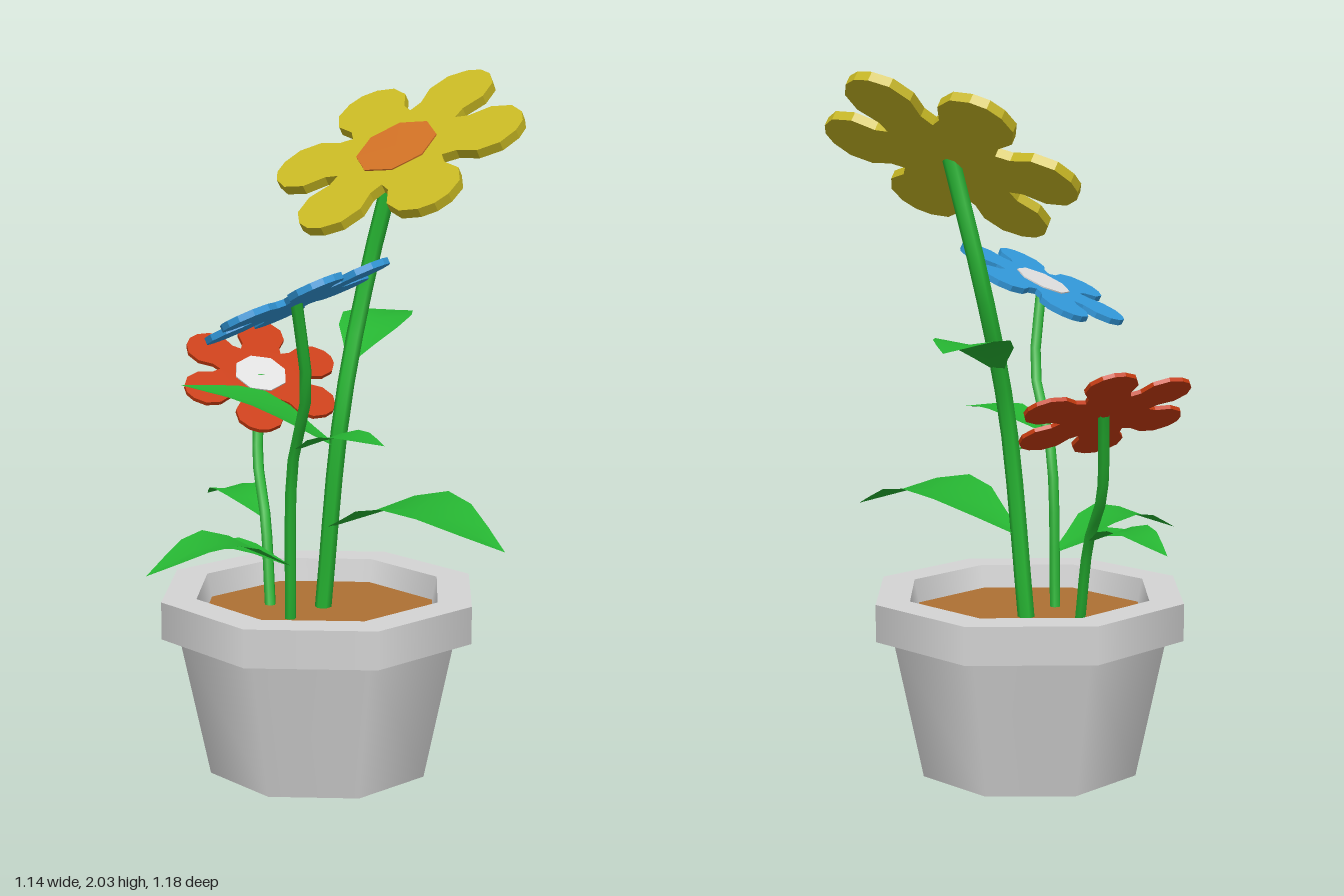
import * as THREE from 'three';
import { mergeGeometries } from 'three/addons/utils/BufferGeometryUtils.js';

const V = (p) => new THREE.Vector3(...p);

const material = (name, color, side = THREE.FrontSide) => {
  const m = new THREE.MeshStandardMaterial({ color, side });
  m.name = name;
  return m;
};

function add(parent, name, geometry, mat) {
  const mesh = new THREE.Mesh(geometry, mat);
  mesh.name = name;
  parent.add(mesh);
  return mesh;
}

// Eight-sided pot: each profile step is its own wall, so edges between steps stay sharp
function potGeometry() {
  const profile = [[0, 0], [0.337, 0], [0.427, 0.42], [0.48, 0.42], [0.48, 0.53], [0.375, 0.53], [0.358, 0.45]]
    .map(([r, y]) => new THREE.Vector2(r, y));
  const walls = [];
  for (let i = 1; i < profile.length; i++) walls.push(new THREE.LatheGeometry([profile[i - 1], profile[i]], 8));
  return mergeGeometries(walls);
}

// Six-petalled outline with notches between the petals
function petalShape(radius) {
  const half = [[0.42, 0.243], [0.53, 0.225], [0.7, 0.285], [0.87, 0.24], [0.97, 0.12]];
  const petal = [...half.map(([x, y]) => [x, -y]), [1, 0], ...half.slice(1).reverse()];
  const points = [];
  for (let i = 0; i < 6; i++) {
    const c = Math.cos(i * Math.PI / 3) * radius, s = Math.sin(i * Math.PI / 3) * radius;
    for (const [x, y] of petal) points.push(new THREE.Vector2(x * c - y * s, x * s + y * c));
  }
  return new THREE.Shape(points);
}

// Flower head in the plane of its normal; spin turns the rear petal, seen from above, towards +x
function flowerHead({ center, normal, spin, radius, thick, petalMat, eyeMat }) {
  const group = new THREE.Group();
  group.name = 'flowerHead';
  const n = V(normal).normalize();
  const x = new THREE.Vector3(Math.sin(spin), 0, -Math.cos(spin));
  x.y = -x.dot(n) / n.y;
  x.normalize();
  const y = new THREE.Vector3().crossVectors(n, x);
  group.quaternion.setFromRotationMatrix(new THREE.Matrix4().makeBasis(x, y, n));
  group.position.set(...center);

  const petals = new THREE.ExtrudeGeometry(petalShape(radius), { depth: thick, bevelEnabled: false });
  add(group, 'petals', petals.translate(0, 0, -thick / 2), petalMat);
  const eye = radius * 0.32;
  const disc = new THREE.CylinderGeometry(eye, eye, thick, 8).rotateX(Math.PI / 2).rotateZ(Math.PI / 8);
  add(group, 'flowerCentre', disc.translate(0, 0, 0.004), eyeMat);
  return group;
}

// Leaf from V-shaped cross-sections along a midrib that arches by rise
function leafGeometry(base, tip, rise, halfWidth) {
  const crest = base.clone().lerp(tip, 0.5);
  crest.y += rise;
  const rib = new THREE.CatmullRomCurve3([base, crest, tip]);
  const out = tip.clone().sub(base).setY(0).normalize();
  const side = new THREE.Vector3(-out.z, 0, out.x);
  const positions = [], index = [];
  [0.1, 0.45, 0.85, 1, 0.8, 0.42, 0].forEach((w, i, all) => {
    const p = rib.getPoint(i / (all.length - 1));
    for (const s of [-1, 0, 1]) {
      const q = p.clone().addScaledVector(side, s * w * halfWidth);
      positions.push(q.x, q.y + Math.abs(s) * w * halfWidth * 0.15, q.z);
    }
    if (i === 0) return;
    for (let j = 0; j < 2; j++) {
      const a = (i - 1) * 3 + j, b = a + 3;
      index.push(a, a + 1, b, a + 1, b + 1, b);
    }
  });
  const g = new THREE.BufferGeometry();
  g.setAttribute('position', new THREE.Float32BufferAttribute(positions, 3));
  g.setIndex(index);
  g.computeVertexNormals();
  return g;
}

export function createModel() {
  const model = new THREE.Group();
  model.name = 'pottedFlowers';

  const potMat = material('pale grey', 0xd4d4d4);
  const soilMat = material('soil brown', 0xad7033);
  const green = material('plant green', 0x26b532, THREE.DoubleSide);
  const yellow = material('yellow', 0xc8b823);
  const orange = material('orange', 0xcf7025);
  const red = material('red', 0xc83c10);
  const blue = material('blue', 0x3298da);
  const white = material('white', 0xdedede);

  // Pot and soil
  const pot = new THREE.Group();
  pot.name = 'pot';
  pot.position.set(-0.015, 0, 0.03);
  add(pot, 'potShell', potGeometry(), potMat);
  add(pot, 'soil', new THREE.CircleGeometry(0.36, 8).rotateX(-Math.PI / 2), soilMat).position.y = 0.46;
  model.add(pot);

  // A stem bending up to the flower head; addLeaf grows a leaf from the stem at a given height
  function addPlant(name, stemRadius, bends, head) {
    const plant = new THREE.Group();
    plant.name = name;
    const path = new THREE.CatmullRomCurve3([...bends, head.center].map(V), false, 'centripetal');
    add(plant, 'stem', new THREE.TubeGeometry(path, 10, stemRadius, 6), green);
    plant.add(flowerHead(head));
    model.add(plant);
    return function addLeaf(height, tip, rise, halfWidth) {
      const base = path.getPoints(100).find((p) => p.y >= height);
      add(plant, 'leaf', leafGeometry(base, V(tip), rise, halfWidth), green);
    };
  }

  // Tall yellow flower
  const yellowLeaf = addPlant('yellowFlower', 0.025,
    [[0.01, 0.44, -0.01], [0.06, 1.05, 0.015], [0.165, 1.43, -0.06]],
    { center: [0.245, 1.8, -0.02], normal: [-0.5, 0.82, 0.27], spin: 0.09, radius: 0.39, thick: 0.028, petalMat: yellow, eyeMat: orange });
  yellowLeaf(0.69, [0.34, 0.73, 0.55], 0.09, 0.16);
  yellowLeaf(1.19, [0.4, 1.29, -0.36], 0.05, 0.11);
  yellowLeaf(0.93, [-0.37, 1.12, -0.19], 0.035, 0.13);

  // Blue flower at the front
  const blueLeaf = addPlant('blueFlower', 0.017,
    [[-0.12, 0.44, 0.075], [-0.135, 0.92, 0.14], [-0.135, 1.155, 0.26]],
    { center: [-0.185, 1.415, 0.325], normal: [-0.31, 0.9, -0.3], spin: 0.06, radius: 0.275, thick: 0.018, petalMat: blue, eyeMat: white });
  blueLeaf(0.61, [-0.575, 0.65, 0.175], 0.08, 0.11);
  blueLeaf(0.61, [-0.41, 0.66, -0.03], 0.035, 0.07);
  blueLeaf(0.97, [0.02, 1.03, 0.46], 0.03, 0.08);

  // Low red flower at the back
  const redLeaf = addPlant('redFlower', 0.017,
    [[-0.13, 0.44, -0.08], [-0.115, 0.7, -0.17], [-0.1, 0.86, -0.29]],
    { center: [-0.062, 1.105, -0.38], normal: [0, 0.84, 0.54], spin: 0.32, radius: 0.258, thick: 0.012, petalMat: red, eyeMat: white });
  redLeaf(0.7, [-0.2, 0.72, -0.5], 0.05, 0.075);

  return model;
}
